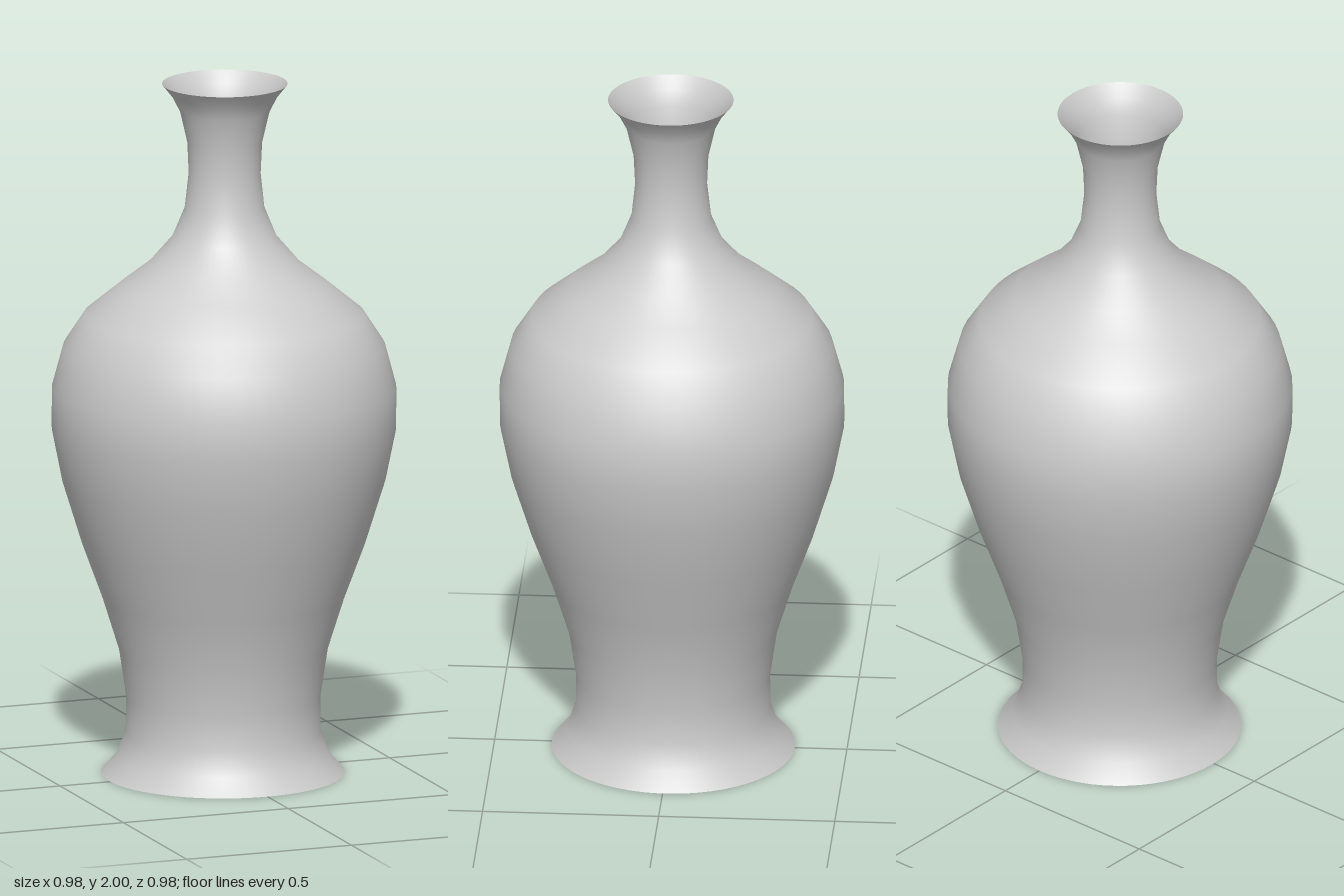
import * as THREE from 'three';

// Outer profile as [radius, height], foot to rim
const PROFILE = [
  [0.345, 0], [0.302, 0.05], [0.276, 0.12], [0.275, 0.22], [0.296, 0.36],
  [0.343, 0.51], [0.402, 0.67], [0.458, 0.85], [0.488, 1.0], [0.488, 1.12],
  [0.456, 1.24], [0.398, 1.33], [0.295, 1.415], [0.217, 1.475], [0.148, 1.555],
  [0.113, 1.64], [0.102, 1.74], [0.106, 1.83], [0.127, 1.92], [0.15, 1.965], [0.178, 2.0],
];
const SEGMENTS = 64;
const HOLE_RADIUS = 0.052;

// Hand-thrown lean: the foot sits slightly behind the rim
function lean(geometry) {
  const p = geometry.attributes.position;
  for (let i = 0; i < p.count; i++) {
    const t = 1 - p.getY(i) / 2;
    p.setX(i, p.getX(i) - 0.003 * t);
    p.setZ(i, p.getZ(i) - 0.007 * t);
  }
  return geometry;
}

export function createModel() {
  const group = new THREE.Group();
  group.name = 'vase';
  const material = new THREE.MeshStandardMaterial({ color: 0xcccccc, side: THREE.DoubleSide });

  const addLathe = (name, points) => {
    const geometry = new THREE.LatheGeometry(points.map(([r, y]) => new THREE.Vector2(r, y)), SEGMENTS);
    const mesh = new THREE.Mesh(lean(geometry), material);
    mesh.name = name;
    group.add(mesh);
  };

  // Thin open wall with a flared foot, shoulder, neck and lip
  addLathe('body', PROFILE);
  // Flat bottom with a drain hole
  addLathe('base', [[HOLE_RADIUS, 0], [PROFILE[0][0], 0]]);

  return group;
}
